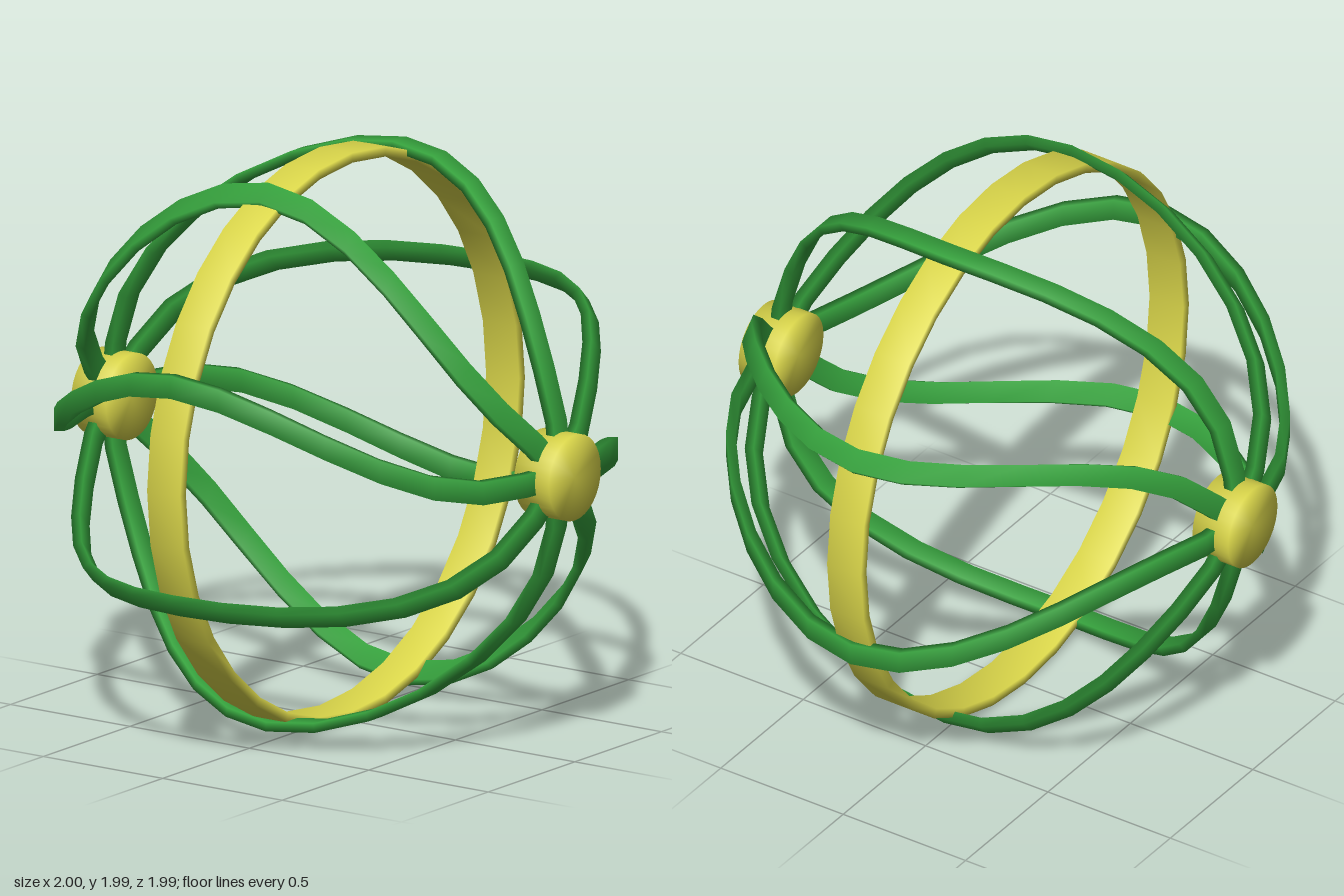
import * as THREE from 'three';
import { mergeVertices } from 'three/addons/utils/BufferGeometryUtils.js';

const CY = 0.995; // height of the cage's centre

// Sweep a flat bar: frame(t) gives centre c, thickness axis n and width axis w
function sweepBar(segments, closed, thickness, width, frame) {
  const pos = [], idx = [];
  const rows = closed ? segments : segments + 1;
  for (let i = 0; i < rows; i++) {
    const { c, n, w } = frame(i / segments);
    for (const [a, b] of [[1, 1], [-1, 1], [-1, -1], [1, -1]]) {
      const p = c.clone().addScaledVector(n, a * thickness / 2).addScaledVector(w, b * width / 2);
      pos.push(p.x, p.y, p.z);
    }
  }
  for (let i = 0; i < segments; i++) {
    const k = (i + 1) % rows;
    for (let j = 0; j < 4; j++) {
      const m = (j + 1) % 4;
      const A = i * 4 + j, B = i * 4 + m, C = k * 4 + m, D = k * 4 + j;
      idx.push(A, D, C, A, C, B);
    }
  }
  const g = new THREE.BufferGeometry();
  g.setAttribute('position', new THREE.Float32BufferAttribute(pos, 3));
  g.setIndex(idx);
  g.computeVertexNormals();
  return g;
}

export function createModel() {
  const green = new THREE.MeshStandardMaterial({ color: 0x35a03c });
  green.name = 'green';
  const yellow = new THREE.MeshStandardMaterial({ color: 0xdad64a });
  yellow.name = 'yellow';

  const group = new THREE.Group();
  group.name = 'sphericalCage';
  const cage = new THREE.Group();
  cage.name = 'cage';
  cage.position.y = CY;
  group.add(cage);

  const add = (name, geometry, material) => {
    const mesh = new THREE.Mesh(geometry, material);
    mesh.name = name;
    cage.add(mesh);
    return mesh;
  };

  // Upright central hoop
  const hoop = sweepBar(32, true, 0.034, 0.138, (t) => {
    const a = t * Math.PI * 2;
    const n = new THREE.Vector3(0, Math.cos(a), Math.sin(a));
    return { c: n.clone().multiplyScalar(0.978), n, w: new THREE.Vector3(1, 0, 0) };
  });
  add('centralHoop', hoop, yellow);

  // Eight half-circle ribs, each bowed sideways towards its middle
  const rib = sweepBar(16, false, 0.033, 0.08, (t) => {
    const a = t * Math.PI;
    const n = new THREE.Vector3(Math.cos(a), Math.sin(a), 0);
    const lift = Math.min(a, Math.PI - a) * 180 / Math.PI;
    const c = n.clone().multiplyScalar(0.94);
    c.z = -0.365 * THREE.MathUtils.smoothstep(lift, 19, 90);
    return { c, n, w: new THREE.Vector3(0, 0, 1) };
  });
  for (let i = 0; i < 8; i++) add('rib' + (i + 1), rib, green).rotation.x = i * Math.PI / 4;

  // Softly shaded round hubs at both ends of the axis
  let hub = new THREE.CylinderGeometry(0.15, 0.15, 0.145, 32);
  hub.deleteAttribute('normal');
  hub.deleteAttribute('uv');
  hub = mergeVertices(hub);
  hub.rotateZ(Math.PI / 2);
  hub.computeVertexNormals();
  for (const s of [1, -1]) add(s > 0 ? 'leftHub' : 'rightHub', hub, yellow).position.x = s * 0.9275;

  return group;
}
